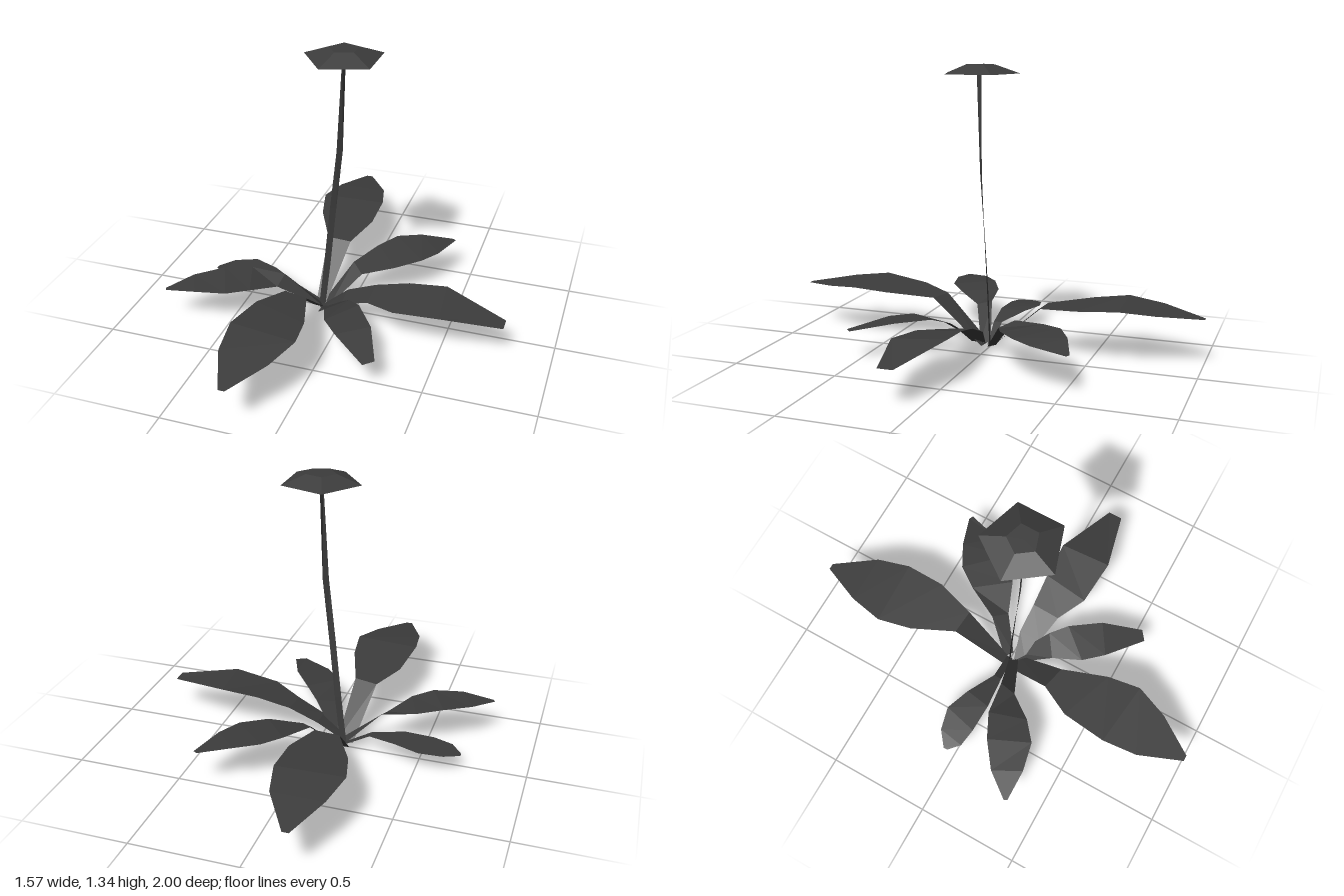
import * as THREE from 'three';

const material = new THREE.MeshStandardMaterial({ color: 0x3c3c3c, flatShading: true, side: THREE.DoubleSide });

// Ribbon through rows of [x, y, z of one edge, x, y, z of the other edge]
function ribbon(name, rows) {
  const geometry = new THREE.BufferGeometry();
  const index = [];
  for (let i = 0; i < rows.length - 1; i++) {
    const a = i * 2;
    index.push(a, a + 1, a + 2, a + 1, a + 3, a + 2);
  }
  geometry.setAttribute('position', new THREE.Float32BufferAttribute(rows.flat(), 3));
  geometry.setIndex(index);
  geometry.computeVertexNormals();
  const mesh = new THREE.Mesh(geometry, material);
  mesh.name = name;
  return mesh;
}

// Each leaf rises steeply from the crown, widens and droops to a blunt tip
const leaves = {
  backLeaf: [
    [-0.165, 0.01, -0.02, -0.115, 0.01, -0.02],
    [-0.19, 0.225, -0.27, -0.07, 0.225, -0.26],
    [-0.29, 0.245, -0.47, -0.015, 0.245, -0.45],
    [-0.33, 0.26, -0.63, -0.015, 0.26, -0.64],
    [-0.295, 0.245, -0.8, -0.055, 0.245, -0.8],
    [-0.21, 0.215, -1, -0.18, 0.215, -1],
  ],
  frontLeaf: [
    [-0.17, 0.01, 0.02, -0.09, 0.01, 0.03],
    [-0.22, 0.22, 0.25, -0.105, 0.22, 0.28],
    [-0.3, 0.24, 0.4, -0.035, 0.245, 0.5],
    [-0.33, 0.265, 0.62, -0.015, 0.26, 0.66],
    [-0.31, 0.245, 0.79, -0.075, 0.24, 0.82],
    [-0.22, 0.215, 1, -0.19, 0.215, 1],
  ],
  leftLeaf: [
    [-0.12, 0.02, 0.02, -0.12, 0.02, 0.09],
    [0.0, 0.11, -0.01, 0.0, 0.1, 0.1],
    [0.14, 0.165, -0.01, 0.14, 0.15, 0.13],
    [0.3, 0.2, -0.02, 0.28, 0.175, 0.205],
    [0.48, 0.215, -0.025, 0.5, 0.2, 0.225],
    [0.78, 0.165, 0.09, 0.78, 0.165, 0.16],
  ],
  backLeftLeaf: [
    [-0.13, 0.01, -0.03, -0.09, 0.01, 0],
    [-0.02, 0.175, -0.16, 0.04, 0.15, -0.1],
    [0.06, 0.195, -0.32, 0.19, 0.18, -0.16],
    [0.13, 0.205, -0.42, 0.3, 0.19, -0.25],
    [0.24, 0.2, -0.48, 0.36, 0.185, -0.35],
    [0.39, 0.175, -0.53, 0.41, 0.175, -0.52],
  ],
  frontLeftLeaf: [
    [-0.13, 0.02, 0.04, -0.09, 0.02, 0.01],
    [-0.05, 0.12, 0.2, 0.05, 0.15, 0.13],
    [0.0, 0.165, 0.34, 0.12, 0.18, 0.2],
    [0.08, 0.165, 0.43, 0.22, 0.175, 0.34],
    [0.25, 0.135, 0.565, 0.295, 0.14, 0.53],
  ],
  frontRightLeaf: [
    [-0.14, 0.02, 0, -0.11, 0.02, 0.04],
    [-0.3, 0.175, 0.05, -0.31, 0.15, 0.13],
    [-0.46, 0.195, 0.07, -0.4, 0.185, 0.25],
    [-0.58, 0.205, 0.13, -0.49, 0.195, 0.325],
    [-0.7, 0.195, 0.22, -0.63, 0.195, 0.355],
    [-0.79, 0.175, 0.34, -0.78, 0.175, 0.355],
  ],
  rightLeaf: [
    [-0.12, 0.01, -0.02, -0.12, 0.01, 0.01],
    [-0.26, 0.085, -0.015, -0.26, 0.085, 0.025],
    [-0.4, 0.11, -0.085, -0.42, 0.11, 0.04],
    [-0.52, 0.112, -0.13, -0.56, 0.108, 0.035],
    [-0.63, 0.1, -0.105, -0.65, 0.097, 0.02],
    [-0.7, 0.085, -0.05, -0.7, 0.085, -0.03],
  ],
};

export function createModel() {
  const plant = new THREE.Group();
  plant.name = 'plant';
  for (const [name, rows] of Object.entries(leaves)) plant.add(ribbon(name, rows));

  // Flat stalk, twisting a quarter turn as it rises
  plant.add(ribbon('stalk', [
    [-0.145, 0, 0.002, -0.115, 0, -0.002],
    [-0.115, 0.26, 0.003, -0.085, 0.26, -0.002],
    [-0.083, 0.55, 0.01, -0.055, 0.55, 0.002],
    [-0.046, 0.85, 0.02, -0.022, 0.85, 0.003],
    [-0.016, 1.31, 0.025, -0.008, 1.31, 0.0],
  ]));

  // Shallow five-sided flower head
  const flower = new THREE.Mesh(new THREE.CylinderGeometry(0.07, 0.183, 0.04, 5, 1, false, -Math.PI / 2), material);
  flower.name = 'flowerHead';
  flower.position.set(-0.012, 1.32, 0.012);
  plant.add(flower);
  return plant;
}
